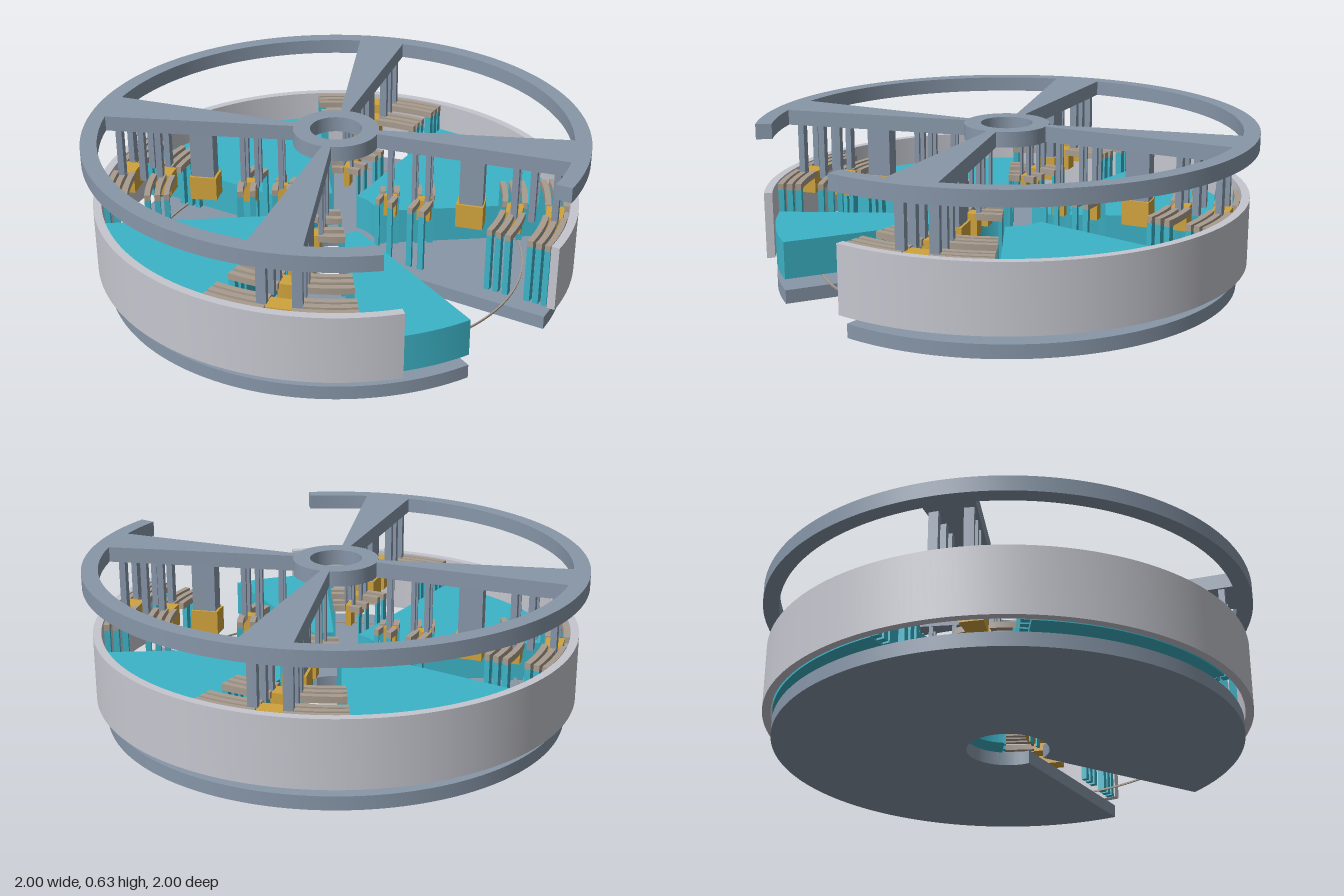
import * as THREE from 'three';
import { toCreasedNormals } from 'three/addons/utils/BufferGeometryUtils.js';

const mat = (name, color) => {
  const m = new THREE.MeshStandardMaterial({ color });
  m.name = name;
  return m;
};

export function createModel() {
  const model = new THREE.Group();
  model.name = 'sectorMachine';
  const steel = mat('blue grey steel', 0x8796a8);
  const wallGrey = mat('light grey', 0xc6c7cf);
  const teal = mat('teal', 0x3db4c8);
  const gold = mat('gold', 0xcfa23c);
  const bronze = mat('dull bronze', 0xa89c8e);

  // Block bounded by two radii, two angles (degrees, counter-clockwise seen from above) and two heights
  function sector(name, material, r0, r1, a0, a1, y0, y1, parent = model) {
    const s = new THREE.Shape();
    const t0 = THREE.MathUtils.degToRad(a0), t1 = THREE.MathUtils.degToRad(a1);
    if (a1 - a0 >= 360) {
      s.absarc(0, 0, r1, 0, Math.PI * 2, false);
      s.holes.push(new THREE.Path().absarc(0, 0, r0, 0, Math.PI * 2, true));
    } else {
      s.absarc(0, 0, r1, t0, t1, false);
      s.absarc(0, 0, r0, t1, t0, true);
      s.closePath();
    }
    let g = new THREE.ExtrudeGeometry(s, {
      depth: y1 - y0, bevelEnabled: false,
      curveSegments: Math.max(2, Math.ceil((a1 - a0) / 3)),
    });
    g.rotateX(-Math.PI / 2);
    g.translate(0, y0, 0);
    g = toCreasedNormals(g, 0.5);
    const mesh = new THREE.Mesh(g, material);
    mesh.name = name;
    parent.add(mesh);
    return mesh;
  }

  // Cut-away plates and walls
  sector('basePlate', steel, 0.165, 0.93, 0, 332, 0, 0.055);
  sector('outerWall', wallGrey, 0.937, 0.97, 0, 315, 0.1, 0.37);
  sector('topRing', steel, 0.935, 1, 0, 310, 0.57, 0.632);
  sector('topHub', steel, 0.103, 0.17, 0, 360, 0.57, 0.632);
  sector('thinOrbitRing', bronze, 0.762, 0.768, 0, 360, 0.069, 0.076);

  // Pole sectors, the last one cut short
  for (let i = 0; i < 4; i++) {
    const a = 36 + 90 * i;
    sector('poleSector', teal, 0.17, 0.93, a, i === 3 ? 332 : a + 54, 0.1, 0.25);
  }

  const strips = [
    [0.18, 0.2], [0.235, 0.258], [0.325, 0.348], [0.375, 0.4],
    [0.67, 0.692], [0.707, 0.73], [0.747, 0.77],
    [0.838, 0.862], [0.874, 0.898], [0.91, 0.933],
  ];
  const posts = [[0.215, 0.235], [0.315, 0.332], [0.37, 0.39], [0.715, 0.74], [0.785, 0.81], [0.875, 0.9]];
  const clamps = [[0.2, 0.25], [0.335, 0.39], [0.69, 0.755], [0.845, 0.915]];

  // Valleys between the sectors, each with a spoke carrying its hanging parts
  for (let i = 0; i < 4; i++) {
    const valley = new THREE.Group();
    valley.name = 'valley';
    valley.rotation.y = i * Math.PI / 2;
    model.add(valley);
    const part = (...args) => sector(...args, valley);

    part('spoke', steel, 0.165, 0.937, 12, 24, 0.57, 0.632);
    part('mainPost', steel, 0.505, 0.6, 14.5, 21.5, 0.37, 0.57);
    part('mainBlock', gold, 0.495, 0.605, 13.5, 22.5, 0.27, 0.37);

    for (const [r0, r1] of posts)
      for (const a of [13.8, 22.2]) part('thinPost', steel, r0, r1, a - 1.2, a + 1.2, 0.345, 0.57);

    for (const [r0, r1] of clamps) part('clamp', gold, r0, r1, 14.6, 21.4, 0.27, 0.36);

    for (const [r0, r1] of strips) {
      part('curvedStrip', bronze, r0, r1, 0.2, 15, 0.34, 0.366);
      part('curvedStrip', bronze, r0, r1, 21, 35.8, 0.34, 0.366);
      part('stripSupport', teal, r0, r1, 0.3, 2.3, 0.1, 0.34);
      part('stripSupport', teal, r0, r1, 33.7, 35.7, 0.1, 0.34);
    }
  }
  return model;
}
